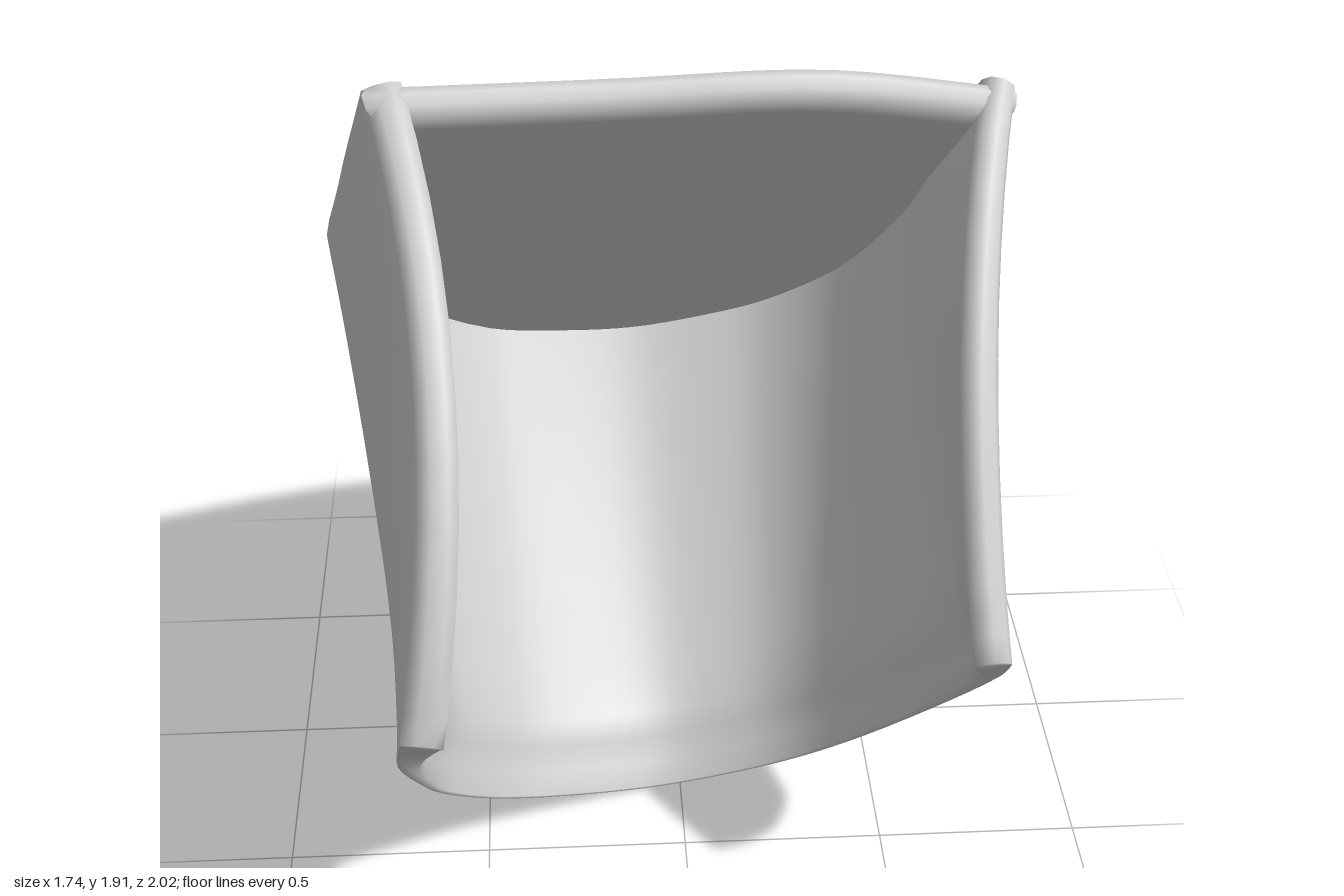
import * as THREE from 'three';

const V = (x, y, z) => new THREE.Vector3(x, y, z);
const material = new THREE.MeshStandardMaterial({ color: 0xcccccc, side: THREE.DoubleSide });

// Smooth closed-ring surface through rows of points
function loft(rows, name) {
  const n = rows[0].length, pos = [], index = [];
  rows.forEach(row => row.forEach(p => pos.push(p.x, p.y, p.z)));
  for (let r = 0; r < rows.length - 1; r++) {
    for (let i = 0; i < n; i++) {
      const a = r * n + i, b = r * n + (i + 1) % n;
      index.push(a, a + n, b, b, a + n, b + n);
    }
  }
  const geo = new THREE.BufferGeometry();
  geo.setAttribute('position', new THREE.Float32BufferAttribute(pos, 3));
  geo.setIndex(index);
  geo.computeVertexNormals();
  const mesh = new THREE.Mesh(geo, material);
  mesh.name = name;
  return mesh;
}

// The two U-shaped rims, each lying in its own tilted plane
const rim = (pts, zOf) => new THREE.CatmullRomCurve3(pts.map(([x, y]) => V(x, y, zOf(x, y))));
const frontRim = rim([[-0.66, 0.79], [-0.68, 0.6], [-0.65, 0.42], [-0.6, 0.27], [-0.46, 0.12],
  [-0.25, 0.03], [-0.05, 0], [0.13, 0.03], [0.28, 0.09], [0.42, 0.2], [0.6, 0.43],
  [0.73, 0.66], [0.74, 0.75]], (x, y) => 0.272 + 0.8 * y - 0.16 * x);
const backRim = rim([[-0.72, 1.89], [-0.82, 1.5], [-0.88, 1.2], [-0.8, 1.0], [-0.53, 0.77],
  [-0.3, 0.715], [-0.07, 0.7], [0.15, 0.74], [0.35, 0.81], [0.58, 0.99], [0.73, 1.28],
  [0.77, 1.45], [0.86, 1.7]], (x, y) => -1.554 - 0.11 * x + 0.784 * y);

// Outer skin: u runs round the U, s from front to back; the free edges bulge
function skin(u, s) {
  const k = Math.abs(2 * u - 1) ** 5 * 4 * s * (1 - s);
  const bulge = u < 0.5 ? V(0.08, 0.08, 0.06) : V(-0.05, 0.06, 0.05);
  return frontRim.getPoint(u).lerp(backRim.getPoint(u), s).addScaledVector(bulge, k);
}

function inward(u, s) {
  const e = 0.015, u0 = Math.max(0, u - e), u1 = Math.min(1, u + e);
  const s0 = Math.max(0, s - e), s1 = Math.min(1, s + e);
  return skin(u1, s).sub(skin(u0, s)).cross(skin(u, s1).sub(skin(u, s0))).normalize();
}

// Cross-section of the wall: outer skin, rounded edge, inner skin, rounded edge
function wallRing(s, closed) {
  const N = 48, outer = [], inner = [];
  const lip = Math.min(1, s / 0.12);
  for (let i = 0; i <= N; i++) {
    const u = i / N, edge = Math.abs(2 * u - 1) ** 4;
    const t = closed ? 0 : 0.09 * Math.max(lip, 0.15 + 0.85 * edge);
    const p = skin(u, s);
    outer.push(p);
    inner.push(p.clone().addScaledVector(inward(u, s), t));
  }
  const round = (from, to, next) => {
    const half = from.distanceTo(to) / 2;
    const out = from.clone().sub(next).normalize();
    return [0.25, 0.5, 0.75].map(f =>
      from.clone().lerp(to, 0.5 - 0.5 * Math.cos(f * Math.PI))
        .addScaledVector(out, 0.8 * half * Math.sin(f * Math.PI)));
  };
  return [...outer, ...round(outer[N], inner[N], outer[N - 1]),
    ...inner.slice().reverse(), ...round(inner[0], outer[0], outer[1])];
}

// Curved wall: sides and floor in one sheet
function buildWall() {
  const rows = [wallRing(0, true)];
  for (const s of [0, 0.04, 0.08, 0.12, 0.2, 0.3, 0.4, 0.5, 0.6, 0.7, 0.8, 0.9, 1]) {
    rows.push(wallRing(s, false));
  }
  return loft(rows, 'curvedWall');
}

// D-shaped back plate with a softly rounded border
function buildBackPlate() {
  const outline = backRim.getPoints(48);
  const top = new THREE.CatmullRomCurve3([V(0.86, 1.72, -0.3), V(0.37, 1.84, -0.17),
    V(-0.15, 1.87, -0.08), V(-0.72, 1.91, 0.03)]);
  outline.push(...top.getPoints(16));
  const centre = V(0, 1.3, -0.535), forward = V(0.09, -0.61, 0.78).normalize();
  const rings = [[0, 0.085], [0.5, 0.085], [0.92, 0.085], [0.965, 0.075], [0.99, 0.05],
    [0.998, 0.02], [0.985, -0.002], [0.95, -0.008], [0.5, -0.008], [0, -0.008]];
  return loft(rings.map(([k, d]) => outline.map(p =>
    centre.clone().lerp(p, k).addScaledVector(forward, d))), 'backPlate');
}

export function createModel() {
  const scoop = new THREE.Group();
  scoop.name = 'scoop';
  scoop.add(buildWall(), buildBackPlate());
  return scoop;
}
